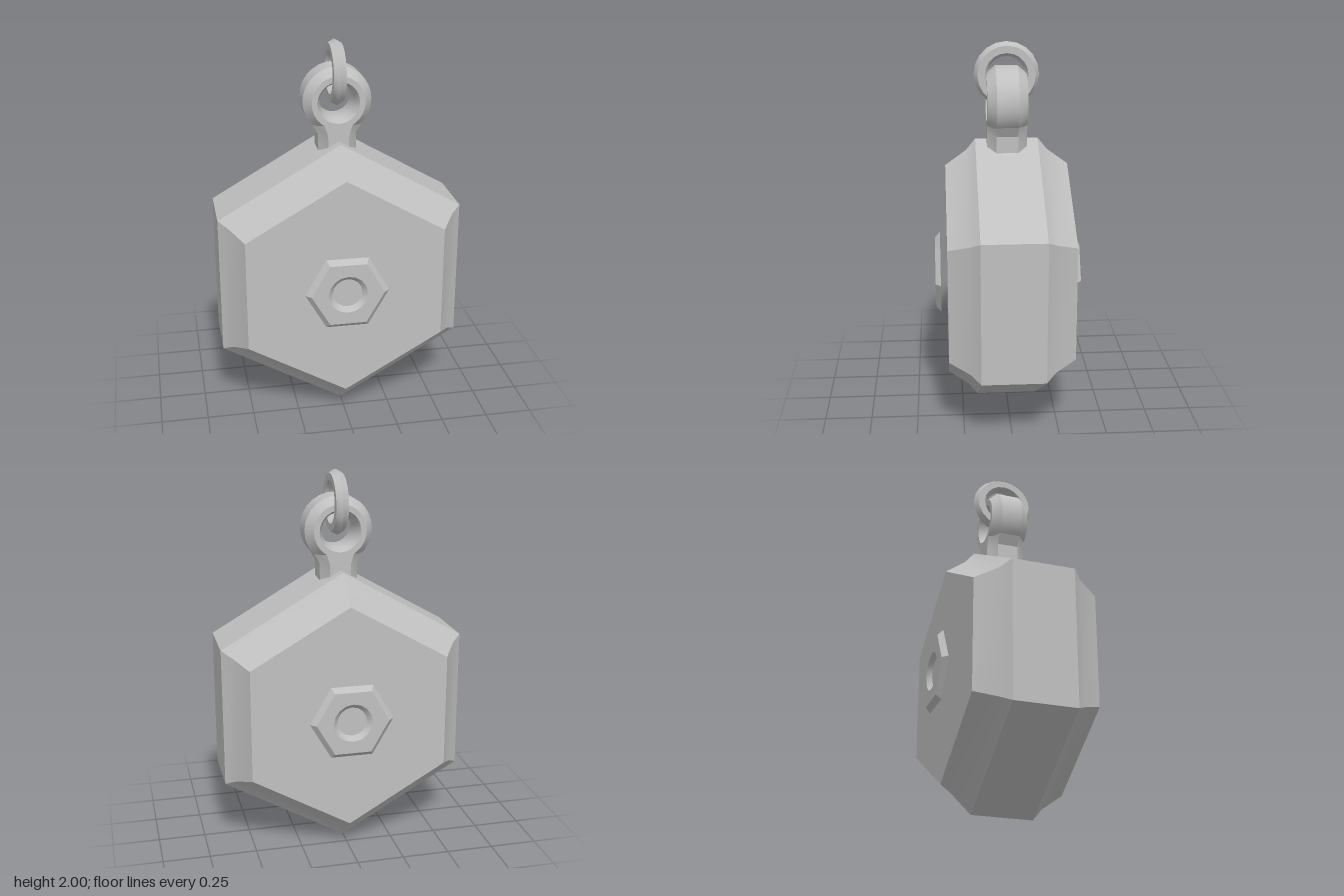
import * as THREE from 'three';
import { toCreasedNormals } from 'three/addons/utils/BufferGeometryUtils.js';

export function createModel() {
  const model = new THREE.Group();
  model.name = 'hexPendant';
  const metal = new THREE.MeshStandardMaterial({ color: 0xc0c0c0 });
  metal.name = 'greyMetal';

  const add = (name, geometry, parent = model) => {
    const mesh = new THREE.Mesh(toCreasedNormals(geometry, 0.5), metal);
    mesh.name = name;
    parent.add(mesh);
    return mesh;
  };

  // Turn a [radius, z] profile around the z axis
  const turn = (profile, sides, start = 0) =>
    new THREE.LatheGeometry(profile.map(([r, z]) => new THREE.Vector2(r, z)), sides, start)
      .rotateX(Math.PI / 2);

  // Hexagonal body with hollowed bevels, points up and down
  const half = [[0.745, 0.165], [0.683, 0.215], [0.603, 0.325], [0, 0.325]];
  const bodyProfile = [...half.map(([r, z]) => [r, -z]).reverse(), ...half];
  add('body', turn(bodyProfile, 6)).position.y = 0.746;

  // Hexagonal nuts floating in front of and behind the body
  for (const [name, angle] of [['frontNut', 0], ['backNut', Math.PI]]) {
    const nut = new THREE.Group();
    nut.name = name;
    nut.position.y = 0.747;
    nut.rotation.y = angle;
    model.add(nut);

    add('nutSides', turn([[0, 0.36], [0.223, 0.36], [0.193, 0.388]], 6, Math.PI / 2), nut);

    const face = new THREE.Shape();
    for (let i = 0; i < 6; i++) {
      const a = i * Math.PI / 3;
      face[i ? 'lineTo' : 'moveTo'](0.193 * Math.cos(a), 0.193 * Math.sin(a));
    }
    face.closePath();
    face.holes.push(new THREE.Path().absarc(0, 0, 0.103, 0, Math.PI * 2, true));
    add('nutFace', new THREE.ShapeGeometry(face, 8).translate(0, 0, 0.388), nut);

    add('nutHoleWall', turn([[0.103, 0.388], [0.078, 0.363]], 16), nut);
    add('nutHoleFloor', new THREE.CircleGeometry(0.078, 16).translate(0, 0, 0.363), nut);
  }

  // Octagonal neck that flares into the eye
  const section = new THREE.Shape([
    [0.055, 0.105], [-0.055, 0.105], [-0.1, 0.057], [-0.1, -0.057],
    [-0.055, -0.105], [0.055, -0.105], [0.1, -0.057], [0.1, 0.057],
  ].map(([x, z]) => new THREE.Vector2(x, z)));
  const neck = new THREE.ExtrudeGeometry(section, { depth: 0.2, steps: 2, bevelEnabled: false })
    .rotateX(-Math.PI / 2);
  const p = neck.attributes.position;
  for (let i = 0; i < p.count; i++) {
    const y = p.getY(i);
    if (y > 0.15) p.setX(i, p.getX(i) * 1.35);
    else if (y > 0.05) p.setY(i, 0.14);
  }
  add('neck', neck).position.y = 1.38;

  // Wide bevelled eye
  add('eye', turn([
    [0.09, 0.06], [0.09, -0.06], [0.11, -0.105], [0.14, -0.105], [0.18, -0.058],
    [0.18, 0.058], [0.14, 0.105], [0.11, 0.105], [0.09, 0.06],
  ], 28)).position.y = 1.695;

  // Thin link threaded through the eye
  add('link', new THREE.TorusGeometry(0.132, 0.038, 6, 20).rotateY(Math.PI / 2)).position.y = 1.83;

  return model;
}
